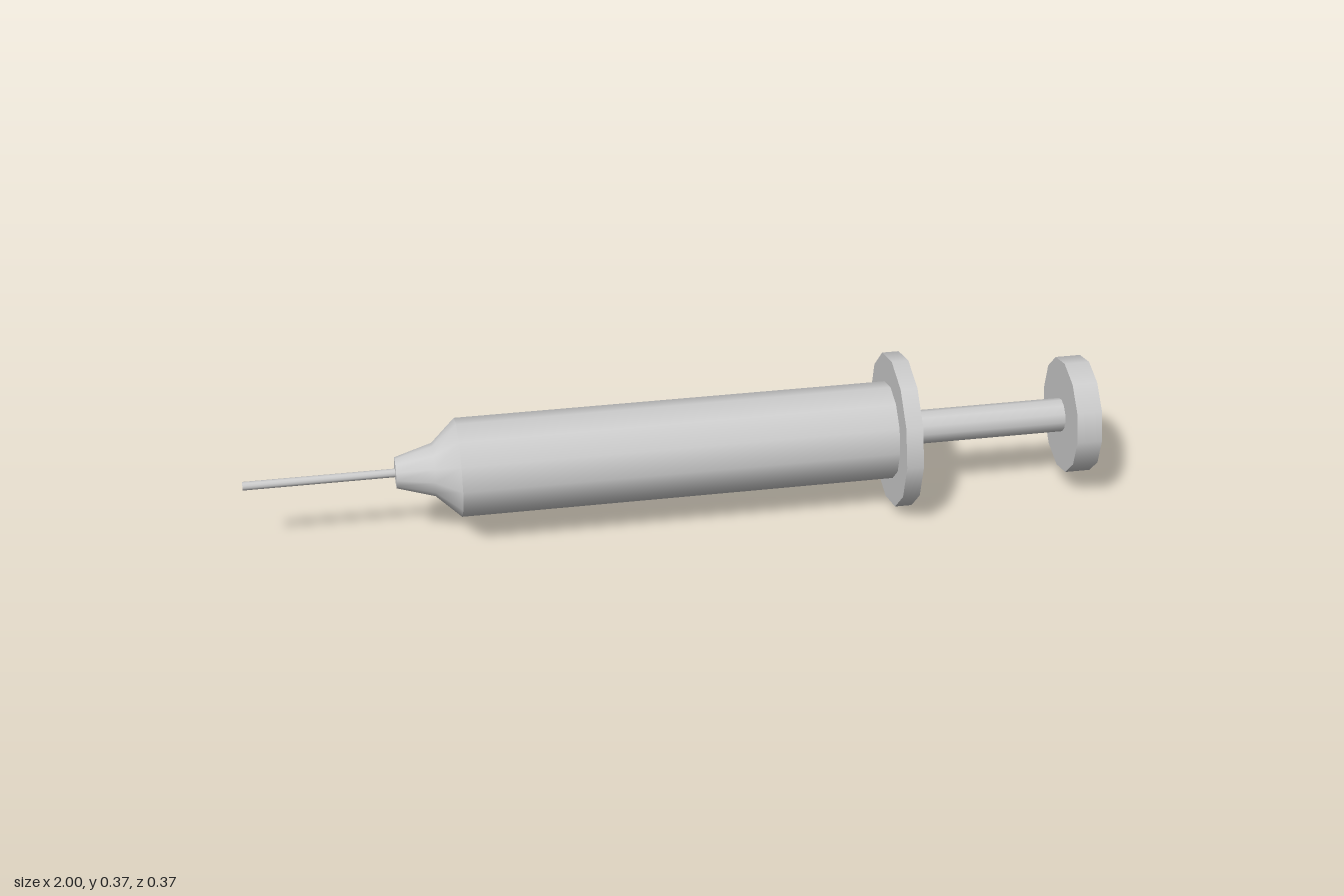
import * as THREE from 'three';

const SIDES = 12;
const AXIS_Y = 0.183;

export function createModel() {
  const model = new THREE.Group();
  model.name = 'syringe';
  const greyPlastic = new THREE.MeshStandardMaterial({ color: 0xcccccc });
  greyPlastic.name = 'light grey';

  // Lay a turned geometry along x and name it
  const add = (name, geometry) => {
    geometry.rotateZ(-Math.PI / 2);
    const mesh = new THREE.Mesh(geometry, greyPlastic);
    mesh.name = name;
    mesh.position.y = AXIS_Y;
    model.add(mesh);
    return mesh;
  };

  // Capped cylinder between two x positions
  const rod = (name, radius, x0, x1) => {
    add(name, new THREE.CylinderGeometry(radius, radius, x1 - x0, SIDES))
      .position.x = (x0 + x1) / 2;
  };

  rod('needle', 0.01, -1, -0.64);
  rod('barrel', 0.115, -0.505, 0.53);
  rod('fingerFlange', 0.183, 0.518, 0.558);
  rod('plungerRod', 0.04, 0.55, 0.95);
  rod('thumbRest', 0.138, 0.94, 1);

  // Tapered nozzle, with a flat tip around the needle
  const profile = [[0.036, -0.65], [0.062, -0.562], [0.115, -0.505]]
    .map(([r, x]) => new THREE.Vector2(r, x));
  add('nozzle', new THREE.LatheGeometry(profile, SIDES));
  rod('nozzleTip', 0.036, -0.65, -0.64);

  return model;
}
